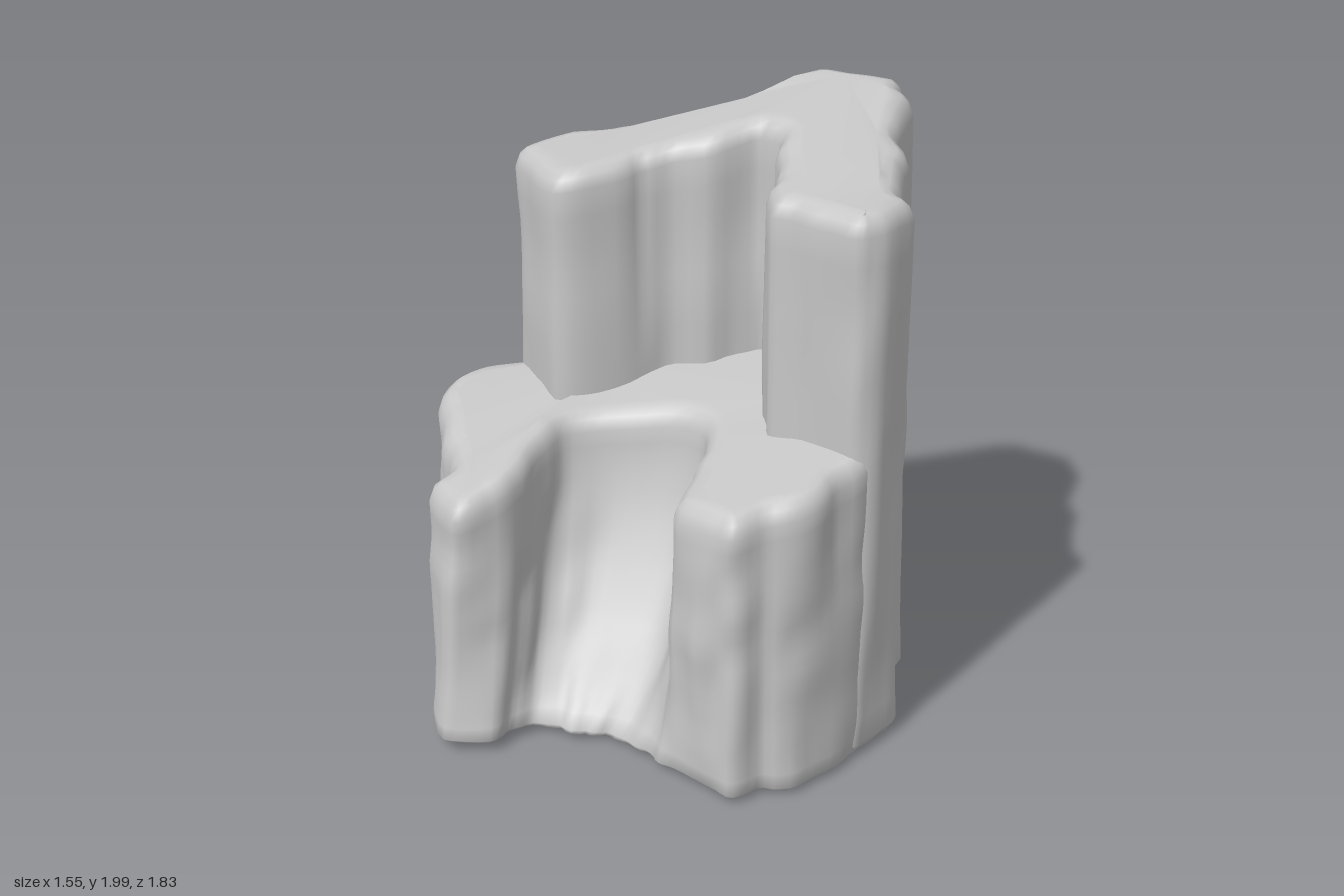
import * as THREE from 'three';

const stone = new THREE.MeshStandardMaterial({ color: 0xc6c6c6 });
stone.name = 'grey stone';

// Smooth repeatable noise in the range -1..1
const hash = (a, b) => {
  const s = Math.sin(a * 127.1 + b * 311.7) * 43758.5453;
  return 2 * (s - Math.floor(s)) - 1;
};
function noise(u, v) {
  const i = Math.floor(u), j = Math.floor(v);
  const ease = (t) => t * t * (3 - 2 * t);
  const a = ease(u - i), b = ease(v - j);
  const lerp = THREE.MathUtils.lerp;
  return lerp(lerp(hash(i, j), hash(i + 1, j), a), lerp(hash(i, j + 1), hash(i + 1, j + 1), a), b);
}

const baseY = (x) => 0.03 - 0.03 * x;

// Rock column lofted from a base outline to a top outline, with a sloping, rounded top
function rockTier(name, topPts, basePts, topY, flarePower) {
  const curve = (pts) => new THREE.CatmullRomCurve3(
    pts.map(([x, z]) => new THREE.Vector3(x, 0, z)), true, 'catmullrom', 0.4);
  const top = curve(topPts), base = curve(basePts);
  const n = topPts.length * 4;
  const levels = [[0, 0.03, 0], [0.025, 0, 0]];            // height share, inset, drop
  for (let k = 1; k <= 18; k++) levels.push([0.025 + 0.975 * k / 18, 0, 0.06]);
  levels.push([1, 0.015, 0.022], [1, 0.04, 0.004], [1, 0.07, 0]);
  const pos = [], idx = [];
  const at = (i, w) => {
    const t = ((i + n) % n) / n;
    return top.getPoint(t).lerp(base.getPoint(t), w);
  };

  levels.forEach(([v, inset, drop], j) => {
    const w = Math.pow(1 - v, flarePower);
    for (let i = 0; i < n; i++) {
      const p = at(i, w);
      const t = at(i + 2, w).sub(at(i - 2, w)).normalize();
      // Vertical grooves plus lumps that break them up
      const bump = 0.013 * noise(i * 0.48, v * 2) + 0.008 * noise(i * 0.25 + 40, v * 7) - 0.004;
      const d = bump - inset;
      const x = p.x - t.z * d, z = p.z + t.x * d;
      const lo = baseY(x), hi = topY(x, z) - drop;
      pos.push(x, lo + v * (hi - lo), z);
      const i2 = (i + 1) % n;
      if (j < levels.length - 1) {
        const a = j * n + i, b = j * n + i2;
        idx.push(a, b, b + n, a, b + n, a + n);
      }
    }
  });

  // Top and bottom caps
  const cap = (j, up) => {
    const ring = [];
    for (let i = 0; i < n; i++) ring.push(new THREE.Vector2(pos[(j * n + i) * 3], -pos[(j * n + i) * 3 + 2]));
    for (const [a, b, c] of THREE.ShapeUtils.triangulateShape(ring, [])) {
      const area = THREE.ShapeUtils.area([ring[a], ring[b], ring[c]]);
      if ((area > 0) === up) idx.push(j * n + a, j * n + b, j * n + c);
      else idx.push(j * n + a, j * n + c, j * n + b);
    }
  };
  cap(levels.length - 1, true);
  cap(0, false);

  const geo = new THREE.BufferGeometry();
  geo.setAttribute('position', new THREE.Float32BufferAttribute(pos, 3));
  geo.setIndex(idx);
  geo.computeVertexNormals();
  const mesh = new THREE.Mesh(geo, stone);
  mesh.name = name;
  return mesh;
}

export function createModel() {
  const group = new THREE.Group();
  group.name = 'steppedCliff';

  // Tall back cliff with a V-shaped recess in its front
  const cliffBase = [
    [-0.7, 0], [-0.69, 0.17], [-0.58, 0.22], [-0.37, 0.26], [-0.29, 0.16], [-0.25, 0.02],
    [-0.22, -0.08], [-0.1, -0.2], [-0.04, -0.33], [0.05, -0.33], [0.12, -0.26], [0.24, -0.15],
    [0.3, -0.07], [0.4, 0.01], [0.52, -0.03], [0.71, -0.05], [0.75, -0.13], [0.71, -0.29],
    [0.62, -0.39], [0.5, -0.53], [0.43, -0.6], [0.32, -0.66], [0.21, -0.82], [0.12, -0.89],
    [0, -0.915], [-0.12, -0.88], [-0.24, -0.83], [-0.36, -0.65], [-0.46, -0.45], [-0.55, -0.31], [-0.62, -0.16],
  ];
  const cliffTop = cliffBase.map(([x, z]) => [x * 0.99, z < -0.35 ? z + 0.055 : z]);
  // Its top climbs towards a peak at the middle of the back
  const cliffY = (x, z) => {
    const fall = x > 0 ? 1.3 * x : 2.5 * Math.max(0, -x - 0.18);
    const rise = z > 0 ? -0.2 * z : 0.3 * Math.min(0.65, -z) * Math.max(0.1, 1 - fall);
    return Math.min(2, 1.815 + rise + 0.008 * noise(x * 5 + 9, z * 5));
  };
  group.add(rockTier('backCliff', cliffTop, cliffBase, cliffY, 1));

  // Lower front shelf; its recess slopes outward towards the ground
  const shelfTop = [
    [-0.6, 0], [-0.7, 0.18], [-0.76, 0.33], [-0.72, 0.5], [-0.6, 0.57], [-0.46, 0.66],
    [-0.35, 0.7], [-0.3, 0.82], [-0.13, 0.85], [-0.08, 0.7], [-0.13, 0.55], [-0.2, 0.4],
    [-0.2, 0.29], [-0.08, 0.17], [0.1, 0.05], [0.2, 0.09], [0.29, 0.2], [0.37, 0.31],
    [0.44, 0.42], [0.6, 0.42], [0.68, 0.38], [0.71, 0.27], [0.76, 0.18], [0.75, 0],
    [0.7, -0.18], [0.5, -0.35], [0.02, -0.6], [-0.45, -0.1],
  ];
  const shelfBase = shelfTop.map(([x, z]) => [x * 1.015, z]);
  // Ground positions of the front spur and the recess
  [[-0.3, 0.84], [-0.12, 0.92], [-0.02, 0.81], [-0.03, 0.72], [-0.01, 0.65], [0.06, 0.6],
    [0.13, 0.55], [0.18, 0.51], [0.24, 0.47], [0.32, 0.46], [0.39, 0.45], [0.47, 0.44]]
    .forEach((p, i) => { shelfBase[7 + i] = p; });
  // Its top slopes forward, with a raised shoulder on the right arm
  const shelfY = (x, z) => 1.055 - 0.22 * z + 0.008 * noise(x * 5, z * 5 + 3)
    + 0.045 * Math.max(0, 1 - Math.abs(z - 0.4) / 0.3) * THREE.MathUtils.clamp(-2 * x, 0, 1);
  group.add(rockTier('frontShelf', shelfTop, shelfBase, shelfY, 1.6));

  return group;
}
